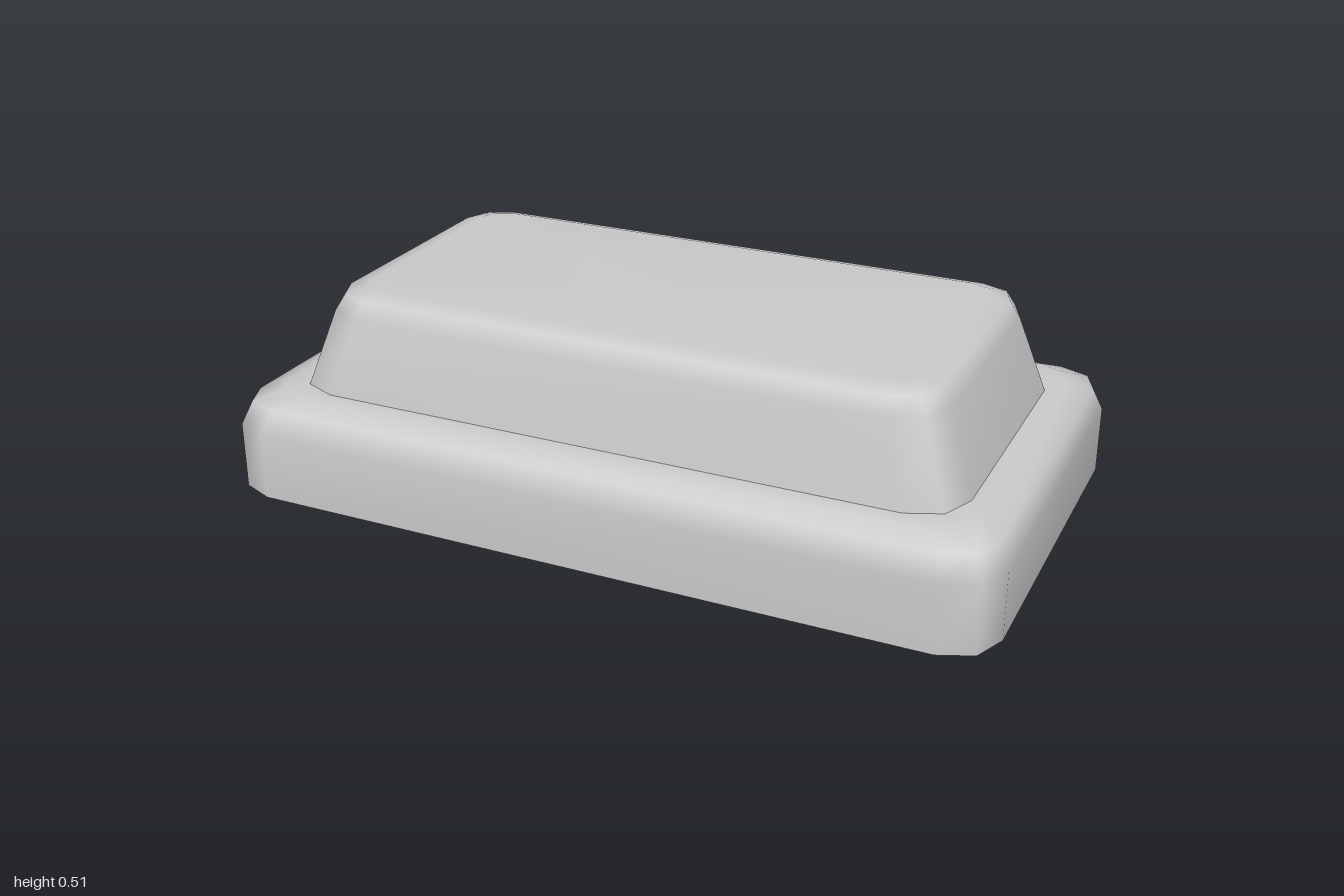
import * as THREE from 'three';

const CORNER_STEPS = 2;

// Rounded rectangle loop in the xz plane: half sizes hx and hz, corner radius r
function roundedLoop([y, hx, hz, r]) {
  const points = [];
  const signs = [[1, 1], [-1, 1], [-1, -1], [1, -1]];
  signs.forEach(([sx, sz], corner) => {
    for (let i = 0; i <= CORNER_STEPS; i++) {
      const a = (corner + i / CORNER_STEPS) * Math.PI / 2;
      points.push([sx * (hx - r) + r * Math.cos(a), y, sz * (hz - r) + r * Math.sin(a)]);
    }
  });
  return points;
}

// Smooth open shell through a stack of loops, closed on top if asked
function shell(name, sections, capped, material) {
  const loops = sections.map(roundedLoop);
  const n = loops[0].length;
  const positions = loops.flat(2);
  const index = [];
  for (let k = 0; k < loops.length - 1; k++) {
    for (let j = 0; j < n; j++) {
      const a = k * n + j, b = k * n + (j + 1) % n;
      index.push(a, a + n, b, b, a + n, b + n);
    }
  }
  if (capped) {
    const centre = positions.length / 3, last = (loops.length - 1) * n;
    positions.push(0, sections[sections.length - 1][0], 0);
    for (let j = 0; j < n; j++) index.push(centre, last + (j + 1) % n, last + j);
  }
  const geometry = new THREE.BufferGeometry();
  geometry.setAttribute('position', new THREE.Float32BufferAttribute(positions, 3));
  geometry.setIndex(index);
  geometry.computeVertexNormals();
  const mesh = new THREE.Mesh(geometry, material);
  mesh.name = name;
  return mesh;
}

export function createModel() {
  const group = new THREE.Group();
  group.name = 'steppedCover';
  const material = new THREE.MeshStandardMaterial({ color: 0xcccccc, side: THREE.DoubleSide });

  // Seam shared by the ledge and the raised top: [y, hx, hz, corner radius]
  const seam = [0.257, 0.875, 0.452, 0.122];

  // Lower rim with a rounded shoulder and a ledge, open underneath
  group.add(shell('lowerRim', [
    [0, 1, 0.58, 0.12],
    [0.175, 1, 0.58, 0.12],
    [0.233, 0.975, 0.555, 0.11],
    [0.257, 0.915, 0.495, 0.1],
    seam,
  ], false, material));

  // Hollow raised top with sloping sides and a rounded upper edge
  group.add(shell('raisedTop', [
    seam,
    [0.457, 0.806, 0.411, 0.12],
    [0.497, 0.781, 0.386, 0.1],
    [0.512, 0.723, 0.336, 0.06],
  ], true, material));

  return group;
}
